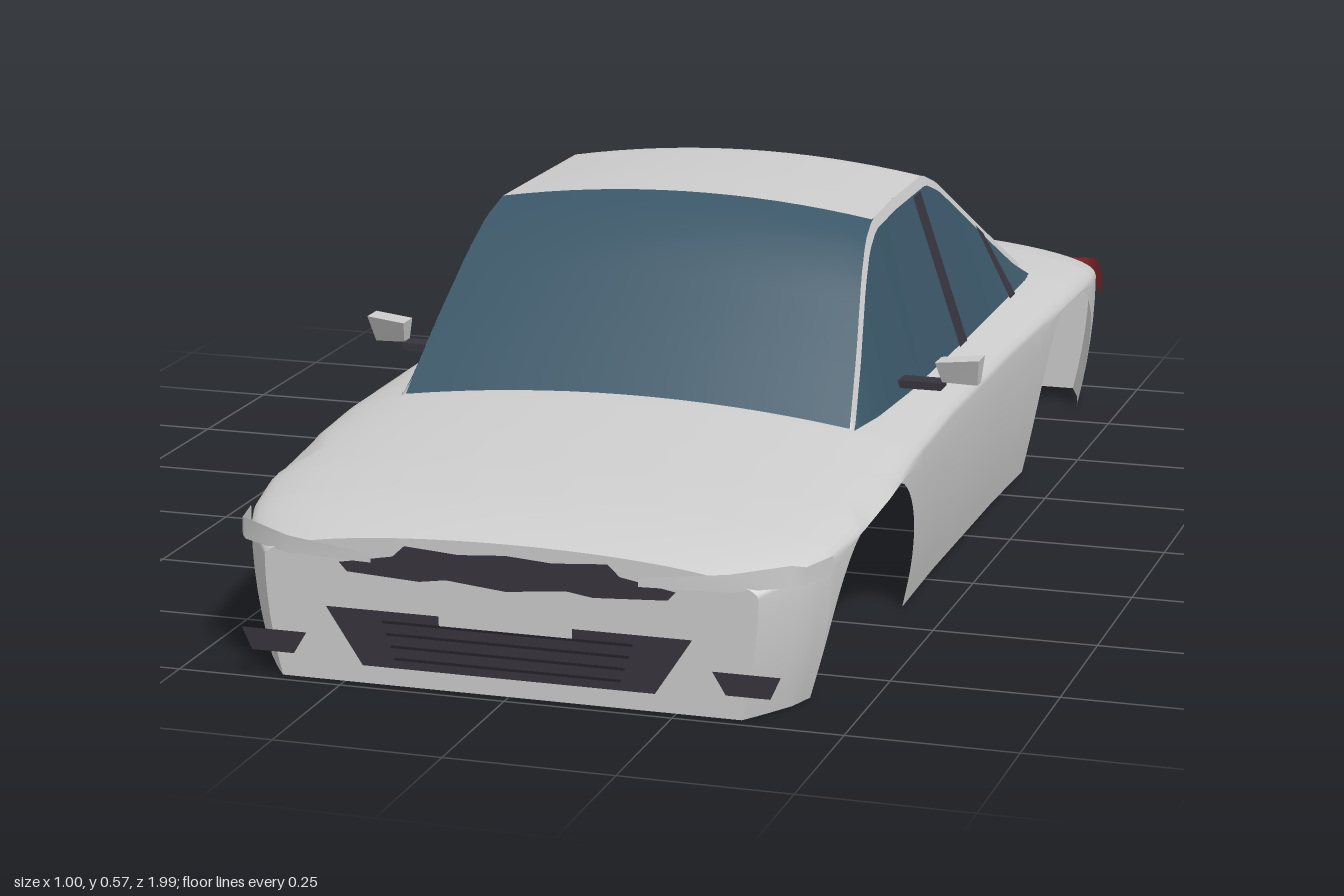
import * as THREE from 'three';

const mat = (name, color) => {
  const m = new THREE.MeshStandardMaterial({ color, side: THREE.DoubleSide });
  m.name = name;
  return m;
};

// Linear lookup in rows [z, a, b, ...], sorted by falling z
function lookup(rows, z) {
  if (z >= rows[0][0]) return rows[0].slice(1);
  for (let i = 1; i < rows.length; i++) {
    const p = rows[i - 1], q = rows[i];
    if (z >= q[0]) {
      const t = (p[0] - z) / (p[0] - q[0]);
      return p.slice(1).map((v, k) => v + (q[k + 1] - v) * t);
    }
  }
  return rows[rows.length - 1].slice(1);
}

// Surface through equally long rows of points
function loft(rows) {
  const n = rows[0].length, idx = [];
  for (let i = 0; i < rows.length - 1; i++)
    for (let j = 0; j < n - 1; j++) {
      const a = i * n + j, b = a + n;
      idx.push(a, b, a + 1, b, b + 1, a + 1);
    }
  const g = new THREE.BufferGeometry();
  g.setAttribute('position', new THREE.Float32BufferAttribute(rows.flat(2), 3));
  g.setIndex(idx);
  g.computeVertexNormals();
  return g;
}

// Body: z, half width, deck height
const BODY = [
  [0.98, 0.37, 0.226], [0.95, 0.392, 0.237], [0.9, 0.424, 0.25], [0.85, 0.441, 0.26],
  [0.75, 0.456, 0.275], [0.6, 0.46, 0.292], [0.45, 0.457, 0.308], [0.2, 0.451, 0.315],
  [-0.2, 0.451, 0.317], [-0.45, 0.457, 0.318], [-0.65, 0.46, 0.318], [-0.8, 0.457, 0.31],
  [-0.87, 0.447, 0.3], [-0.92, 0.435, 0.29], [-0.976, 0.413, 0.272],
];
// Wheel arches: centre z, half length, height
const ARCHES = [[0.628, 0.228, 0.25], [-0.625, 0.226, 0.258]];

function archHeight(z) {
  for (const [c, r, h] of ARCHES) {
    const t = Math.abs((z - c) / r);
    if (t < 1) return h * Math.pow(1 - Math.pow(t, 2.3), 1 / 2.2);
  }
  return 0;
}

// Half section from the lower edge up to the centre line, then mirrored
function section(z) {
  const [w, top] = lookup(BODY, z), belt = top * 0.79, low = archHeight(z), half = [];
  const start = Math.min(low, belt);
  for (let i = 0; i <= 6; i++) {
    const y = start + (belt - start) * i / 6;
    half.push([w * (1 - 0.065 * (1 - y / belt) ** 2), y, z]);
  }
  const a0 = low > belt ? Math.asin(Math.min(0.95, (low - belt) / (top - belt))) : 0;
  for (let i = low > belt ? 0 : 1; i <= 14; i++) {
    const a = a0 + (Math.PI / 2 - a0) * i / 14;
    half.push([w * Math.cos(a), belt + (top - belt) * Math.sin(a), z]);
  }
  if (low > belt) half.splice(0, 1);
  return [...half, ...half.slice(0, -1).reverse().map(([x, y]) => [-x, y, z])];
}

// Cabin edge: z, edge height, half width
const CABIN = [
  [0.45, 0.287, 0.355], [0.36, 0.378, 0.34], [0.26, 0.475, 0.32], [0.2, 0.519, 0.31],
  [0.14, 0.54, 0.304], [0, 0.543, 0.298], [-0.2, 0.543, 0.296], [-0.28, 0.516, 0.299],
  [-0.36, 0.476, 0.304], [-0.5, 0.397, 0.322], [-0.69, 0.287, 0.353],
];
const SILL = [[0.45, 0.363], [0.36, 0.376], [0.2, 0.384], [-0.69, 0.386]];
const SILL_Y = 0.285;

function crownRow(z) {
  const [y, x] = lookup(CABIN, z);
  return Array.from({ length: 17 }, (_, i) => {
    const u = i / 8 - 1;
    return [x * u, y + 0.026 * (1 - u * u), z];
  });
}
function windowTop(z, s) {
  const [y, x] = lookup(CABIN, z);
  return [s * (x + 0.007), Math.max(SILL_Y, y - 0.016), z];
}
const range = (a, b, n) => Array.from({ length: n + 1 }, (_, i) => a + (b - a) * i / n);

export function createModel() {
  const car = new THREE.Group();
  car.name = 'carBody';
  const paint = mat('body paint', 0xcccccc);
  const glass = mat('window glass', 0x3b5768);
  const dark = mat('dark trim', 0x37343d);
  const red = mat('tail light red', 0x8c2a2c);
  const black = mat('grille slat', 0x24222a);
  const add = (name, g, m) => {
    const mesh = new THREE.Mesh(g, m);
    mesh.name = name;
    car.add(mesh);
    return mesh;
  };
  // Flat outline in the xy plane
  const plate = (name, pts, z, m) => {
    const g = new THREE.ShapeGeometry(new THREE.Shape(pts.map(p => new THREE.Vector2(p[0], p[1]))));
    if (z < 0) g.rotateY(Math.PI);
    return add(name, g.translate(0, 0, z), m);
  };
  const rect = (w, y0, y1) => [[-w, y0], [w, y0], [w, y1], [-w, y1]];

  // Shell, with stations bunched at the arch ends
  const zs = [...range(0.98, 0.86, 6)];
  ARCHES.forEach(([c, r], i) => {
    for (let k = 0; k <= 32; k++) zs.push(c + r * Math.cos(Math.PI * k / 32));
    zs.push(...(i === 0 ? range(0.38, -0.38, 12) : range(-0.86, -0.976, 6)));
  });
  add('bodyShell', loft(zs.map(section)), paint);
  plate('frontPanel', section(0.98), 0.98, paint);
  plate('rearPanel', section(-0.976), -0.976, paint);

  // Windscreen, roof and rear window
  add('windscreen', loft(range(0.45, 0.14, 12).map(crownRow)), glass);
  add('roof', loft(range(0.14, -0.36, 18).map(crownRow)), paint);
  add('rearWindow', loft(range(-0.36, -0.69, 8).map(crownRow)), glass);

  // Roof rails, side glass and window pillars
  for (const s of [1, -1]) {
    const side = s > 0 ? 'left' : 'right';
    const sides = range(0.45, -0.69, 57);
    add(side + 'RoofRail', loft(sides.map(z => {
      const [y, x] = lookup(CABIN, z);
      return [[s * x, y, z], windowTop(z, s)];
    })), paint);
    const pane = (z, out) => {
      const t = windowTop(z, s);
      return [[t[0] + s * out, t[1], z], [s * (lookup(SILL, z)[0] + out), SILL_Y, z]];
    };
    add(side + 'SideGlass', loft(sides.map(z => pane(z, 0))), glass);
    add(side + 'CentrePillar', loft(range(-0.1, -0.148, 2).map(z => pane(z, 0.004))), dark);
    add(side + 'RearPillar', loft(range(-0.45, -0.488, 2).map(z => pane(z, 0.004))), dark);

    // Door mirror: arm and tapered head
    const arm = new THREE.BoxGeometry(0.08, 0.012, 0.035);
    add(side + 'MirrorArm', arm, dark).position.set(s * 0.402, 0.306, 0.222);
    const head = new THREE.BoxGeometry(0.066, 0.044, 0.04);
    const p = head.attributes.position;
    for (let i = 0; i < p.count; i++) {
      const outer = p.getX(i) * s > 0, top = p.getY(i) > 0;
      if (!outer) p.setY(i, p.getY(i) * 0.8);
      if (!top) p.setX(i, p.getX(i) * 0.8);
      p.setZ(i, p.getZ(i) * (top ? 1 : 0.6) + (top ? 0.008 : -0.004) - (outer ? 0.012 : 0));
    }
    head.computeVertexNormals();
    add(side + 'MirrorHead', head, paint).position.set(s * 0.468, 0.329, 0.222);

    // Headlight strip wrapping the corner: x, z, low, high
    const strip = rows => loft(rows.map(([x, z, a, b]) => [[s * x, a, z], [s * x, b, z]]));
    add(side + 'Headlight', strip([
      [0.2, 0.998, 0.187, 0.2], [0.33, 0.99, 0.188, 0.214],
      [0.41, 0.955, 0.192, 0.224], [0.425, 0.93, 0.19, 0.216], [0.443, 0.855, 0.187, 0.213],
    ]), paint);
    // Tail light, narrow at the centre and wide at the corner
    add(side + 'TailLight', strip([
      [0, -0.985, 0.212, 0.22], [0.2, -0.988, 0.2, 0.229], [0.4, -0.992, 0.194, 0.241],
      [0.425, -0.98, 0.196, 0.243], [0.462, -0.85, 0.208, 0.246],
    ]), red);

    // Bumper corner inserts
    const insert = [[0.405, 0.07], [0.305, 0.07], [0.325, 0.037], [0.39, 0.037]].map(([x, y]) => [s * x, y]);
    plate(side + 'FrontInsert', insert, 0.988, dark);
    plate(side + 'RearInsert', insert, -0.984, dark);
  }

  // Upper grille, mirrored outline
  const upper = [[0, 0.159], [0.09, 0.168], [0.13, 0.162], [0.24, 0.168], [0.252, 0.181],
    [0.17, 0.196], [0.152, 0.213], [0.07, 0.207], [0, 0.212]];
  plate('upperGrille', [...upper, ...upper.slice(1, -1).reverse().map(([x, y]) => [-x, y])], 0.989, dark);

  // Lower grille with slats
  plate('lowerGrille', [[-0.22, 0.028], [0.22, 0.028], [0.275, 0.112], [-0.275, 0.112]], 0.985, dark);
  [0.043, 0.061, 0.079, 0.097].forEach((y, i) =>
    plate('grilleSlat', rect(0.17 + i * 0.006, y - 0.002, y + 0.002), 0.988, black));

  // Blank plates
  plate('frontPlate', rect(0.1, 0.1, 0.147), 0.992, paint);
  plate('rearPlate', rect(0.1, 0.1, 0.147), -0.982, paint);
  return car;
}
